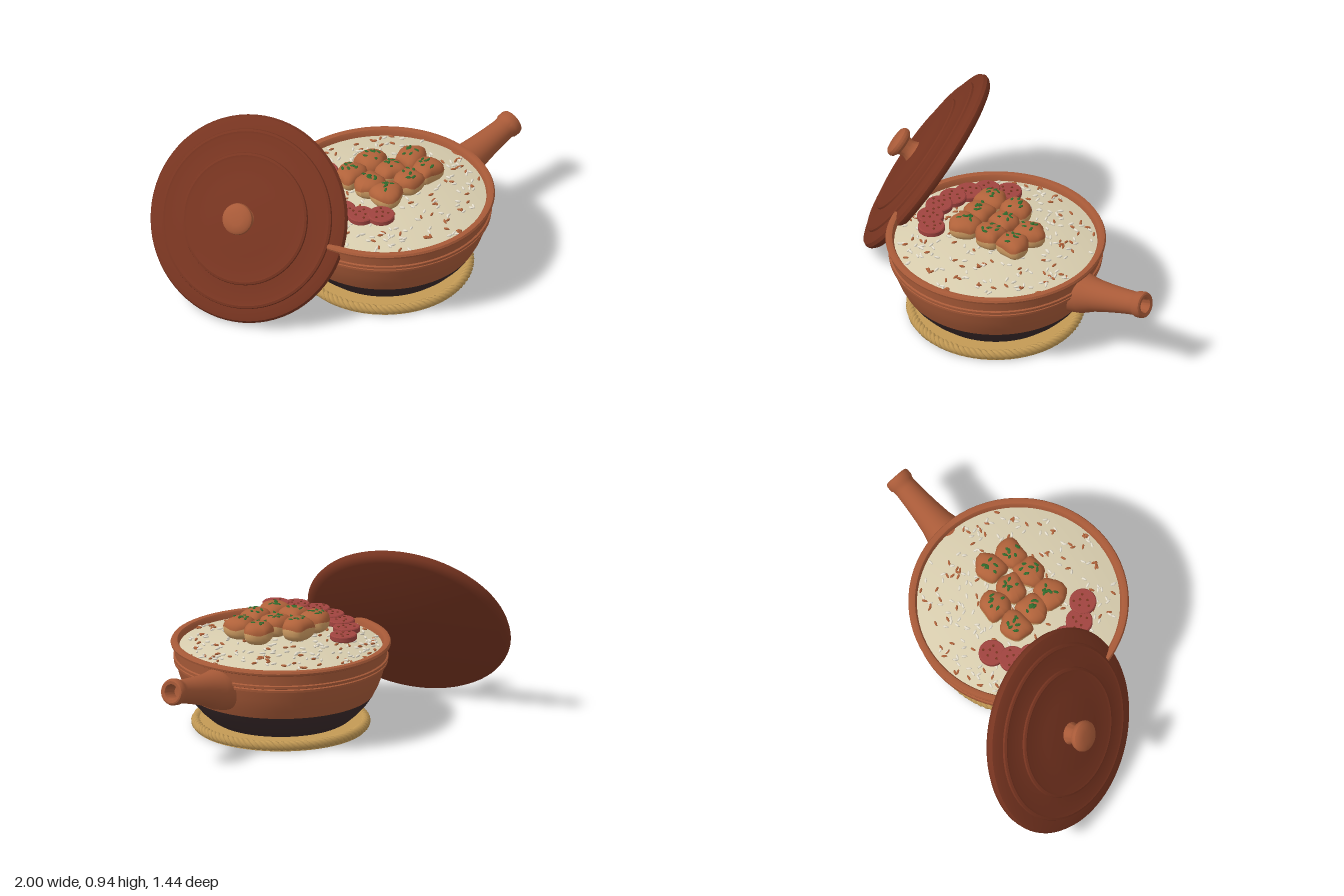
import * as THREE from 'three';
import { mergeGeometries, toCreasedNormals } from 'three/addons/utils/BufferGeometryUtils.js';

const mat = (name, color, side = THREE.FrontSide) => {
  const m = new THREE.MeshStandardMaterial({ color, side });
  m.name = name;
  return m;
};

function seeded(seed) {
  let s = seed;
  return () => ((s = (s * 16807) % 2147483647) - 1) / 2147483646;
}

const lathe = (pts, segments = 72) => toCreasedNormals(
  new THREE.LatheGeometry(pts.map(p => new THREE.Vector2(p[0], p[1])), segments), 0.6);

// Places a copy of a geometry
const placed = (geo, pos, rot = [0, 0, 0], scale = [1, 1, 1]) => {
  const q = new THREE.Quaternion().setFromEuler(new THREE.Euler(...rot));
  return geo.clone().applyMatrix4(new THREE.Matrix4().compose(
    new THREE.Vector3(...pos), q, new THREE.Vector3(...scale)));
};

// Rounded-box-like lump; thetaMax under PI leaves only the top, with a wavy edge
function lump(thetaMax, phase, size) {
  const g = new THREE.SphereGeometry(1, 20, 14, 0, Math.PI * 2, 0, thetaMax);
  const p = g.attributes.position;
  const soft = v => Math.sign(v) * Math.pow(Math.abs(v), 0.8);
  for (let i = 0; i < p.count; i++) {
    const x = p.getX(i), y = p.getY(i), z = p.getZ(i);
    const a = Math.atan2(z, x), flat = Math.hypot(x, z);
    const k = 1 + 0.07 * flat * Math.sin(3 * a + phase) + 0.05 * flat * Math.cos(5 * a - phase);
    const wave = thetaMax < 3 ? 0.1 * flat ** 4 * Math.sin(4 * a + phase) : 0;
    p.setXYZ(i, soft(x) * k * size[0], (soft(y) + wave) * size[1], soft(z) * k * size[2]);
  }
  g.computeVertexNormals();
  return g;
}

export function createModel() {
  const model = new THREE.Group();
  const clay = mat('clay', 0xa85a38);
  const lidClay = mat('darkClay', 0x773420);
  const glaze = mat('darkGlaze', 0x3a2a2b);
  const straw = mat('straw', 0xc39a55);
  const riceMat = mat('rice', 0xd8cdae);
  const grainMat = mat('paleGrain', 0xe6dfce);
  const brown = mat('roastedBrown', 0xb0623a);
  const tan = mat('chickenTan', 0xcf9c62);
  const sausageMat = mat('sausageRed', 0xa0443f);
  const green = mat('herbGreen', 0x2f6b2c, THREE.DoubleSide);
  const rand = seeded(71);

  const add = (name, geo, material, parent = model) => {
    const m = new THREE.Mesh(geo, material);
    m.name = name;
    parent.add(m);
    return m;
  };

  // Everything but the lid shares the pot's axis
  const dish = new THREE.Group();
  dish.name = 'dish';
  dish.position.set(0.03, 0, 0.14);
  model.add(dish);

  // Straw mat: solid disc edged with a three-strand rope
  add('matDisc', placed(new THREE.CylinderGeometry(0.455, 0.455, 0.045, 72), [0, 0.0225, 0]), straw, dish);
  class Strand extends THREE.Curve {
    constructor(phase) { super(); this.phase = phase; }
    getPoint(t, out = new THREE.Vector3()) {
      const a = t * Math.PI * 2, b = a * 30 + this.phase, r = 0.445 + 0.013 * Math.cos(b);
      return out.set(r * Math.cos(a), 0.0275 + 0.013 * Math.sin(b), r * Math.sin(a));
    }
  }
  const strands = [0, 1, 2].map(i =>
    new THREE.TubeGeometry(new Strand(i * Math.PI * 2 / 3), 480, 0.0145, 6, true));
  add('matRope', mergeGeometries(strands), straw, dish);

  // Pot
  add('potBase', lathe([[0, 0.048], [0.355, 0.048], [0.375, 0.06], [0.42, 0.1], [0.46, 0.145], [0.49, 0.19]]), glaze, dish);
  add('potBody', lathe([
    [0.49, 0.19], [0.515, 0.24], [0.537, 0.3], [0.55, 0.352], [0.562, 0.356], [0.563, 0.368],
    [0.555, 0.372], [0.565, 0.376], [0.566, 0.39], [0.557, 0.394], [0.562, 0.445],
    [0.577, 0.452], [0.58, 0.463], [0.574, 0.474], [0.56, 0.477], [0.545, 0.474],
    [0.537, 0.462], [0.532, 0.42]]), clay, dish);

  // Hollow handle sloping up to the left
  const handle = add('handle', lathe([
    [0.112, -0.05], [0.108, 0.04], [0.1, 0.07], [0.087, 0.12], [0.076, 0.2], [0.067, 0.29],
    [0.062, 0.36], [0.063, 0.385], [0.07, 0.395], [0.071, 0.425], [0.066, 0.437], [0.058, 0.441],
    [0.042, 0.438], [0.036, 0.425], [0.034, 0.36], [0, 0.355]], 36), clay, dish);
  handle.position.set(0.53, 0.335, 0);
  handle.rotation.z = -Math.PI / 2 + 0.21;

  // Rice mound
  const riceY = r => 0.44 + 0.065 * (1 - (r / 0.54) ** 2);
  const mound = [];
  for (let i = 0; i <= 12; i++) {
    const r = 0.537 * (1 - i / 12);
    mound.push([r, riceY(r)]);
  }
  add('riceMound', lathe(mound), riceMat, dish);

  // Loose grains lying on the mound
  const seed = new THREE.SphereGeometry(1, 7, 5);
  const pale = [], toasted = [];
  for (let i = 0; i < 330; i++) {
    const r = 0.52 * Math.sqrt(rand()), a = rand() * Math.PI * 2;
    const g = placed(seed, [r * Math.cos(a), riceY(r) + 0.004, r * Math.sin(a)],
      [(rand() - 0.5) * 0.3, rand() * Math.PI, (rand() - 0.5) * 0.4], [0.017, 0.0065, 0.0065]);
    (rand() < 0.6 ? pale : toasted).push(g);
  }
  add('paleGrains', mergeGeometries(pale), grainMat, dish);
  add('toastedGrains', mergeGeometries(toasted), brown, dish);

  // Chicken pieces: tan below, browned on top, sprinkled with herbs
  const spots = [[-0.09, 0.01], [0.065, 0.005], [-0.08, 0.14], [0.08, 0.135], [0.24, 0.13],
    [-0.08, 0.265], [0.08, 0.265], [0.225, 0.26]];
  const leaf = new THREE.SphereGeometry(1, 6, 4);
  const herbs = [];
  spots.forEach(([x, z], i) => {
    const piece = new THREE.Group();
    piece.name = 'chickenPiece' + (i + 1);
    const h = 0.058 + 0.006 * rand(), phase = i * 1.7;
    const w = 0.078 + 0.008 * rand(), d = 0.07 + 0.008 * rand();
    piece.position.set(x, 0.565 + 0.007 * rand(), z);
    piece.rotation.y = rand() * 0.6 - 0.3;
    add('chickenMeat', lump(Math.PI, phase, [w, h, d]), tan, piece);
    add('brownedTop', lump(Math.PI * 0.47, phase, [w * 1.03, h * 1.03, d * 1.03]), brown, piece);
    model.add(piece);
    for (let k = 0; k < 6; k++) {
      const a = rand() * 6.28, r = 0.045 * Math.sqrt(rand());
      herbs.push(placed(leaf, [x + r * Math.cos(a), piece.position.y + h + 0.004 - r * 0.2, z + r * Math.sin(a)],
        [(rand() - 0.5) * 0.6, rand() * 6.28, (rand() - 0.5) * 0.6], [0.018, 0.005, 0.009]));
    }
  });
  add('herbs', mergeGeometries(herbs), green);

  // Sausage slices in an arc, with small dark flecks
  const slice = lathe([[0, -0.016], [0.066, -0.016], [0.071, -0.011], [0.071, 0.011], [0.066, 0.016], [0, 0.016]], 28);
  const fleck = new THREE.CylinderGeometry(0.007, 0.007, 0.004, 7);
  const arc = [[-0.105, -0.17], [-0.205, -0.115], [-0.265, -0.035], [-0.3, 0.06], [-0.315, 0.165], [-0.29, 0.28], [-0.225, 0.365]];
  const slices = [], flecks = [];
  arc.forEach(([x, z], i) => {
    const y = 0.515 + i * 0.0075;
    slices.push(placed(slice, [x, y, z]));
    for (let k = 0; k < 6; k++) {
      const a = k * 2.4 + i, r = 0.018 + 0.006 * k;
      flecks.push(placed(fleck, [x + r * Math.cos(a), y + 0.0165, z + r * Math.sin(a)]));
    }
  });
  add('sausageSlices', mergeGeometries(slices), sausageMat);
  add('sausageFlecks', mergeGeometries(flecks), lidClay);

  // Lid leaning on the rim: stepped dome with a flared knob
  const lid = new THREE.Group();
  lid.name = 'lid';
  lid.position.set(-0.645, 0.475, -0.195);
  lid.quaternion.setFromUnitVectors(new THREE.Vector3(0, 1, 0), new THREE.Vector3(-0.78, 0.55, 0.3).normalize());
  model.add(lid);
  add('lidDome', lathe([
    [0, -0.035], [0.505, -0.035], [0.53, -0.028], [0.545, -0.012], [0.549, 0.004], [0.54, 0.022],
    [0.52, 0.03], [0.475, 0.038], [0.472, 0.048], [0.46, 0.053], [0.448, 0.05], [0.35, 0.066],
    [0.347, 0.075], [0.335, 0.08], [0.322, 0.077], [0.2, 0.09], [0, 0.096]]), lidClay, lid);
  add('lidKnob', lathe([
    [0.066, 0.085], [0.056, 0.1], [0.049, 0.125], [0.055, 0.15], [0.078, 0.165],
    [0.084, 0.18], [0.081, 0.195], [0.068, 0.207], [0.035, 0.213], [0, 0.214]], 36), clay, lid);

  return model;
}
